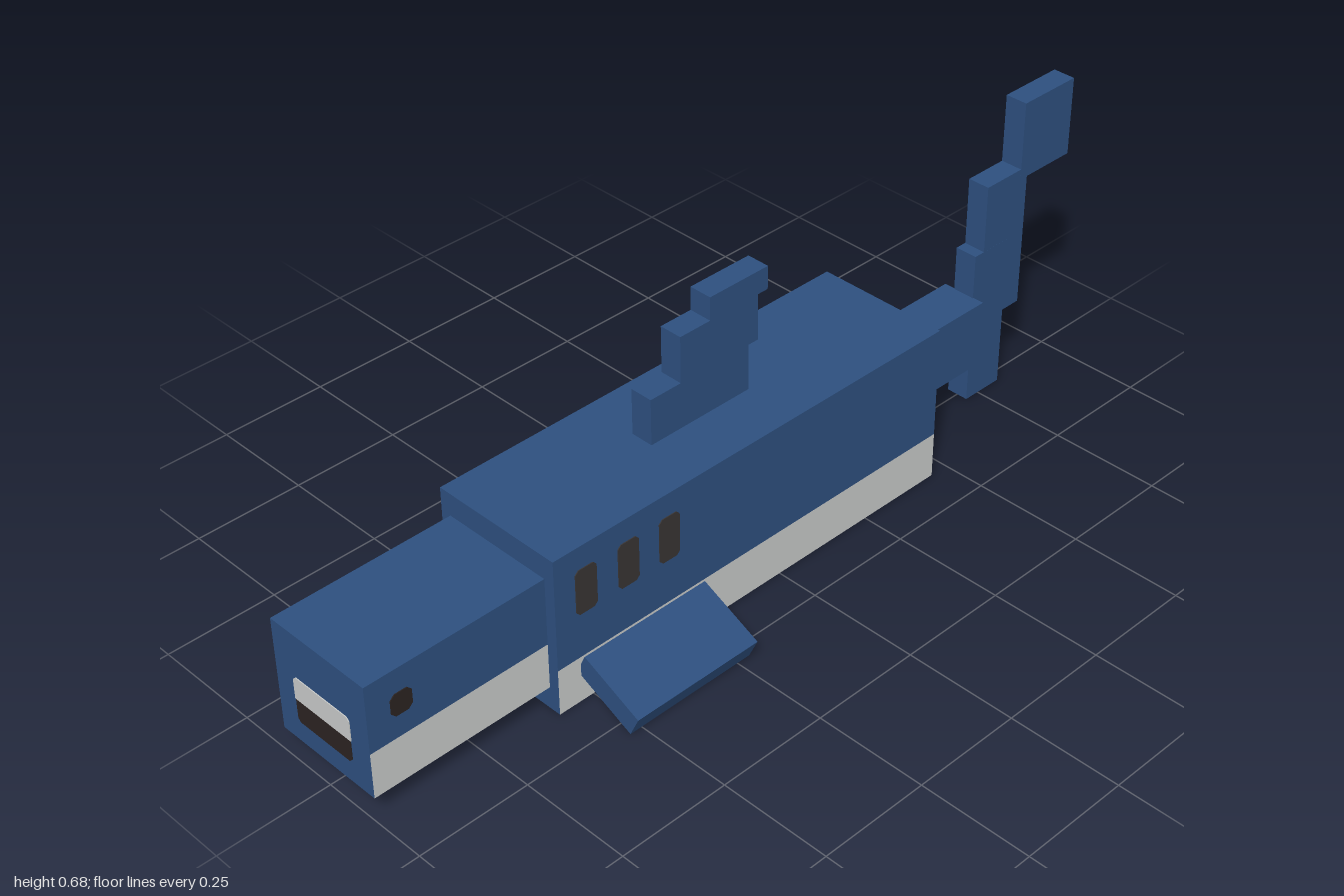
import * as THREE from 'three';

const mat = (name, color) => {
  const m = new THREE.MeshStandardMaterial({ color });
  m.name = name;
  return m;
};

export function createModel() {
  const blue = mat('navy blue skin', 0x2d4f7e);
  const pale = mat('pale belly', 0xc7c9c8);
  const dark = mat('dark mouth and eyes', 0x2b2321);
  const gillGrey = mat('gill grey', 0x383433);

  const model = new THREE.Group();
  model.name = 'blockShark';

  // Box from its extents: half width, y range, z range
  const block = (name, hw, y0, y1, z0, z1, material = blue) => {
    const mesh = new THREE.Mesh(new THREE.BoxGeometry(hw * 2, y1 - y0, z1 - z0), material);
    mesh.position.set(0, (y0 + y1) / 2, (z0 + z1) / 2);
    mesh.name = name;
    model.add(mesh);
    return mesh;
  };

  // Thin plate with clipped corners; top and bottom clips are separate
  const plate = (name, w, h, clipTop, clipBottom, material) => {
    const x = w / 2, y = h / 2, t = clipTop, b = clipBottom;
    const shape = new THREE.Shape([
      [-x + b, -y], [x - b, -y], [x, -y + b], [x, y - t],
      [x - t, y], [-x + t, y], [-x, y - t], [-x, -y + b],
    ].map(([px, py]) => new THREE.Vector2(px, py)));
    const geometry = new THREE.ExtrudeGeometry(shape, { depth: 0.003, bevelEnabled: false });
    const mesh = new THREE.Mesh(geometry, material);
    mesh.name = name;
    model.add(mesh);
    return mesh;
  };

  // Face order: +x, -x, +y, -y, +z, -z
  const bellySides = [pale, pale, blue, pale, blue, blue];
  const bellyUnder = [blue, blue, blue, pale, blue, blue];

  // Head and body, each with a pale lower half
  block('headTop', 0.13, 0.158, 0.312, 0.58, 0.998);
  block('headJaw', 0.13, 0.054, 0.158, 0.58, 0.998, bellySides);
  block('bodyTop', 0.155, 0.108, 0.364, -0.453, 0.586);
  block('bodyBelly', 0.155, 0.002, 0.108, -0.453, 0.586, bellySides);

  // Tail stem and stepped tail fin
  block('tailStem', 0.052, 0.106, 0.261, -0.715, -0.45, bellyUnder);
  block('tailFinLower', 0.026, 0, 0.364, -0.816, -0.713);
  block('tailFinMiddle', 0.0258, 0.184, 0.52, -0.866, -0.74);
  block('tailFinTip', 0.026, 0.496, 0.676, -1, -0.845);

  // Stepped dorsal fin
  block('dorsalFinBase', 0.026, 0.36, 0.468, -0.038, 0.221);
  block('dorsalFinMiddle', 0.026, 0.468, 0.572, -0.063, 0.143);
  block('dorsalFinTip', 0.026, 0.572, 0.624, -0.089, 0.065);

  // Mouth
  plate('upperTeeth', 0.158, 0.053, 0.007, 0, pale).position.set(0, 0.1835, 0.997);
  plate('openMouth', 0.154, 0.052, 0, 0.007, dark).position.set(0, 0.131, 0.997);

  for (const side of [1, -1]) {
    const label = side > 0 ? 'left' : 'right';

    // Drooping pectoral fin
    const fin = block(label + 'PectoralFin', 0.078, 0.033, 0.085, 0.22, 0.53);
    fin.position.x = side * 0.226;
    fin.rotation.z = -side * THREE.MathUtils.degToRad(25);

    // Eye and gill slits
    const eye = plate(label + 'Eye', 0.048, 0.05, 0.01, 0.01, dark);
    eye.position.set(side * 0.129, 0.234, 0.922);
    eye.rotation.y = side * Math.PI / 2;
    [0.51, 0.405, 0.301].forEach((z, i) => {
      const gill = plate(label + 'Gill' + (i + 1), 0.052, 0.103, 0.008, 0.008, gillGrey);
      gill.position.set(side * 0.154, 0.261, z);
      gill.rotation.y = side * Math.PI / 2;
    });
  }

  return model;
}
